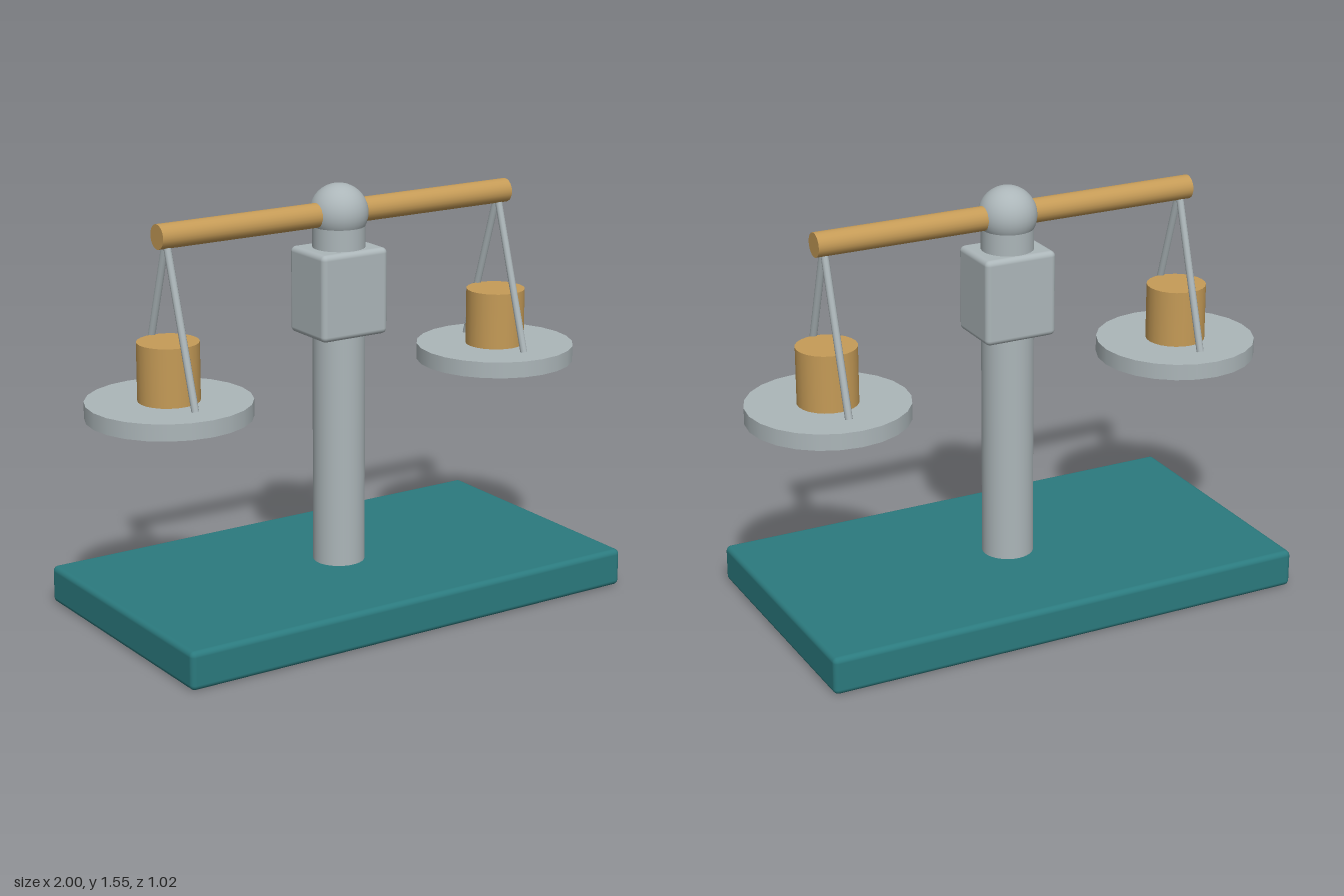
import * as THREE from 'three';
import { RoundedBoxGeometry } from 'three/addons/geometries/RoundedBoxGeometry.js';

export function createModel() {
  const root = new THREE.Group();
  root.name = 'balanceScale';

  const material = (name, color) => {
    const m = new THREE.MeshStandardMaterial({ color });
    m.name = name;
    return m;
  };
  const teal = material('teal', 0x2b7a7e);
  const steel = material('steel', 0xacb6b9);
  const wood = material('wood', 0xc59b57);

  const add = (parent, name, geometry, mat, x = 0, y = 0, z = 0) => {
    const mesh = new THREE.Mesh(geometry, mat);
    mesh.name = name;
    mesh.position.set(x, y, z);
    parent.add(mesh);
    return mesh;
  };

  // Cylinder running between two points
  const rod = (parent, name, a, b, radius, mat, sides) => {
    const dir = b.clone().sub(a);
    const mid = a.clone().add(b).multiplyScalar(0.5);
    const geometry = new THREE.CylinderGeometry(radius, radius, dir.length(), sides);
    const mesh = add(parent, name, geometry, mat, mid.x, mid.y, mid.z);
    mesh.quaternion.setFromUnitVectors(new THREE.Vector3(0, 1, 0), dir.normalize());
    return mesh;
  };

  // Base and stand
  add(root, 'base', new RoundedBoxGeometry(1.85, 0.14, 1.02, 3, 0.02), teal, 0, 0.07, 0);
  add(root, 'column', new THREE.CylinderGeometry(0.095, 0.095, 1.28, 32), steel, 0, 0.76, 0);
  add(root, 'columnBlock', new RoundedBoxGeometry(0.278, 0.316, 0.225, 3, 0.02), steel, 0, 1.158, 0);
  add(root, 'pivotBall', new THREE.SphereGeometry(0.106, 32, 20), steel, 0, 1.44, 0);

  // Beam
  rod(root, 'beam', new THREE.Vector3(-0.74, 1.44, 0), new THREE.Vector3(0.74, 1.44, 0), 0.044, wood, 24);

  // One hanging pan with its weight at each end
  for (const side of [1, -1]) {
    const hanger = new THREE.Group();
    hanger.name = side > 0 ? 'leftPanAssembly' : 'rightPanAssembly';
    hanger.position.x = side * 0.705;
    root.add(hanger);

    add(hanger, 'pan', new THREE.CylinderGeometry(0.295, 0.295, 0.06, 24), steel, 0, 0.83, 0);
    add(hanger, 'weight', new THREE.CylinderGeometry(0.11, 0.11, 0.21, 24), wood, 0, 0.965, 0);
    for (const z of [0.18, -0.18]) {
      rod(hanger, 'hangerRod', new THREE.Vector3(0, 1.41, z * 0.03), new THREE.Vector3(0, 0.86, z), 0.0135, steel, 10);
    }
  }
  return root;
}
